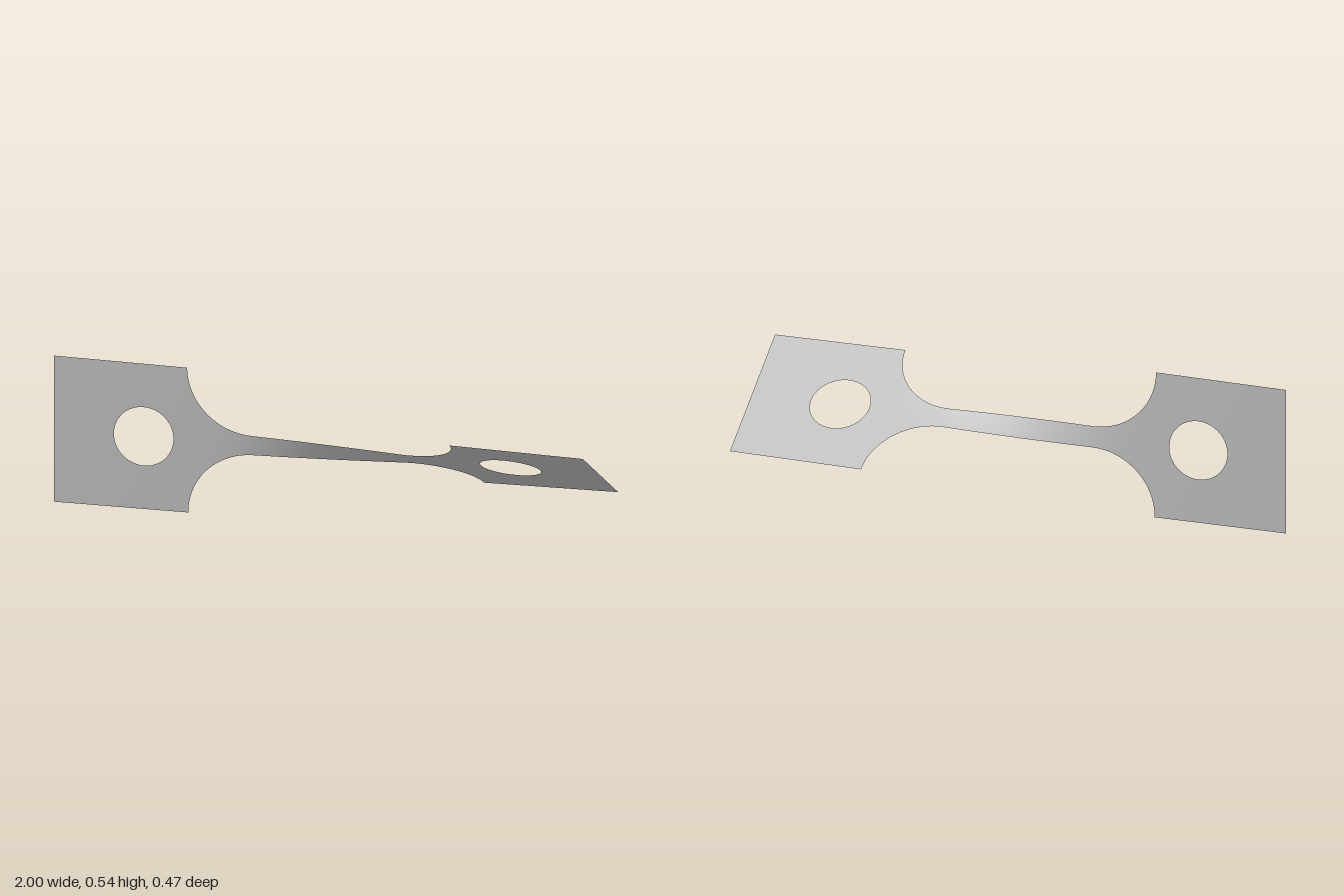
import * as THREE from 'three';

const MID = 0.271;                                // height of the twist axis, also half the grip height
const HOLE_X = 0.671, HOLE_R = 0.109;
const FILLET_X = 0.273, GRIP_X = 0.51, NECK = 0.038;
const TWIST = THREE.MathUtils.degToRad(60);

// Half width of the strip: neck, elliptical fillets, then square grips
function halfWidth(x) {
  const a = Math.abs(x);
  if (a >= GRIP_X) return MID;
  if (a <= FILLET_X) return NECK;
  const u = (a - FILLET_X) / (GRIP_X - FILLET_X);
  return MID - (MID - NECK) * Math.sqrt(Math.max(0, 1 - u * u));
}

// Half height of the round hole at x
function holeHalf(x) {
  const d = Math.abs(x) - HOLE_X;
  return Math.sqrt(Math.max(0, HOLE_R * HOLE_R - d * d));
}

// Twist angle along x: the narrow neck twists most, the grips hardly at all
const STEPS = 2000;
const rate = x => Math.pow(halfWidth(x), -1.6);
const sums = [0];
for (let i = 0; i < STEPS; i++) sums.push(sums[i] + rate(-1 + (2 * i + 1) / STEPS));
const total = sums[STEPS];
function twist(x) {
  const t = THREE.MathUtils.clamp((x + 1) / 2, 0, 1) * STEPS;
  const i = Math.min(STEPS - 1, Math.floor(t));
  return TWIST * THREE.MathUtils.lerp(sums[i], sums[i + 1], t - i) / total;
}
const twistRate = x => TWIST * rate(x) * STEPS / (2 * total);

// Twisted sheet through the given stations, as an upper and a lower band around the hole
function sheet(stations) {
  const ROWS = 6, position = [], normal = [], index = [];
  for (const side of [1, -1]) {
    const base = position.length / 3;
    for (const x of stations) {
      const a = twist(x), s = Math.sin(a), c = Math.cos(a), k = twistRate(x);
      for (let j = 0; j <= ROWS; j++) {
        const h = side * THREE.MathUtils.lerp(holeHalf(x), halfWidth(x), j / ROWS);
        position.push(x, MID + h * c, h * s);
        const n = new THREE.Vector3(-h * k, -s, c).normalize();
        normal.push(n.x, n.y, n.z);
      }
    }
    for (let i = 0; i < stations.length - 1; i++) {
      for (let j = 0; j < ROWS; j++) {
        const p = base + i * (ROWS + 1) + j, q = p + ROWS + 1;
        if (side > 0) index.push(p, q, q + 1, p, q + 1, p + 1);
        else index.push(p, q + 1, q, p, p + 1, q + 1);
      }
    }
  }
  const g = new THREE.BufferGeometry();
  g.setAttribute('position', new THREE.Float32BufferAttribute(position, 3));
  g.setAttribute('normal', new THREE.Float32BufferAttribute(normal, 3));
  g.setIndex(index);
  return g;
}

const range = (n, f) => Array.from({ length: n + 1 }, (_, i) => f(i / n));

export function createModel() {
  const group = new THREE.Group();
  const steel = new THREE.MeshStandardMaterial({ color: 0xc0c0c0, side: THREE.DoubleSide });
  steel.name = 'light grey metal';

  const add = (name, stations) => {
    const mesh = new THREE.Mesh(sheet(stations), steel);
    mesh.name = name;
    group.add(mesh);
  };

  // Grip stations bunch up at the ends of the hole to keep it round
  const grip = [
    ...range(4, t => THREE.MathUtils.lerp(GRIP_X, HOLE_X - HOLE_R, t)),
    ...range(40, t => HOLE_X - HOLE_R * Math.cos(Math.PI * t)).slice(1),
    ...range(8, t => THREE.MathUtils.lerp(HOLE_X + HOLE_R, 1, t)).slice(1),
  ];
  // Fillet stations bunch up at the steep outer end
  const fillet = range(28, t => FILLET_X + (GRIP_X - FILLET_X) * Math.sin(t * Math.PI / 2));
  const mirrored = list => list.map(x => -x).reverse();

  add('rightGrip', mirrored(grip));
  add('rightFillet', mirrored(fillet));
  add('twistedNeck', range(48, t => FILLET_X * (2 * t - 1)));
  add('leftFillet', fillet);
  add('leftGrip', grip);
  return group;
}
